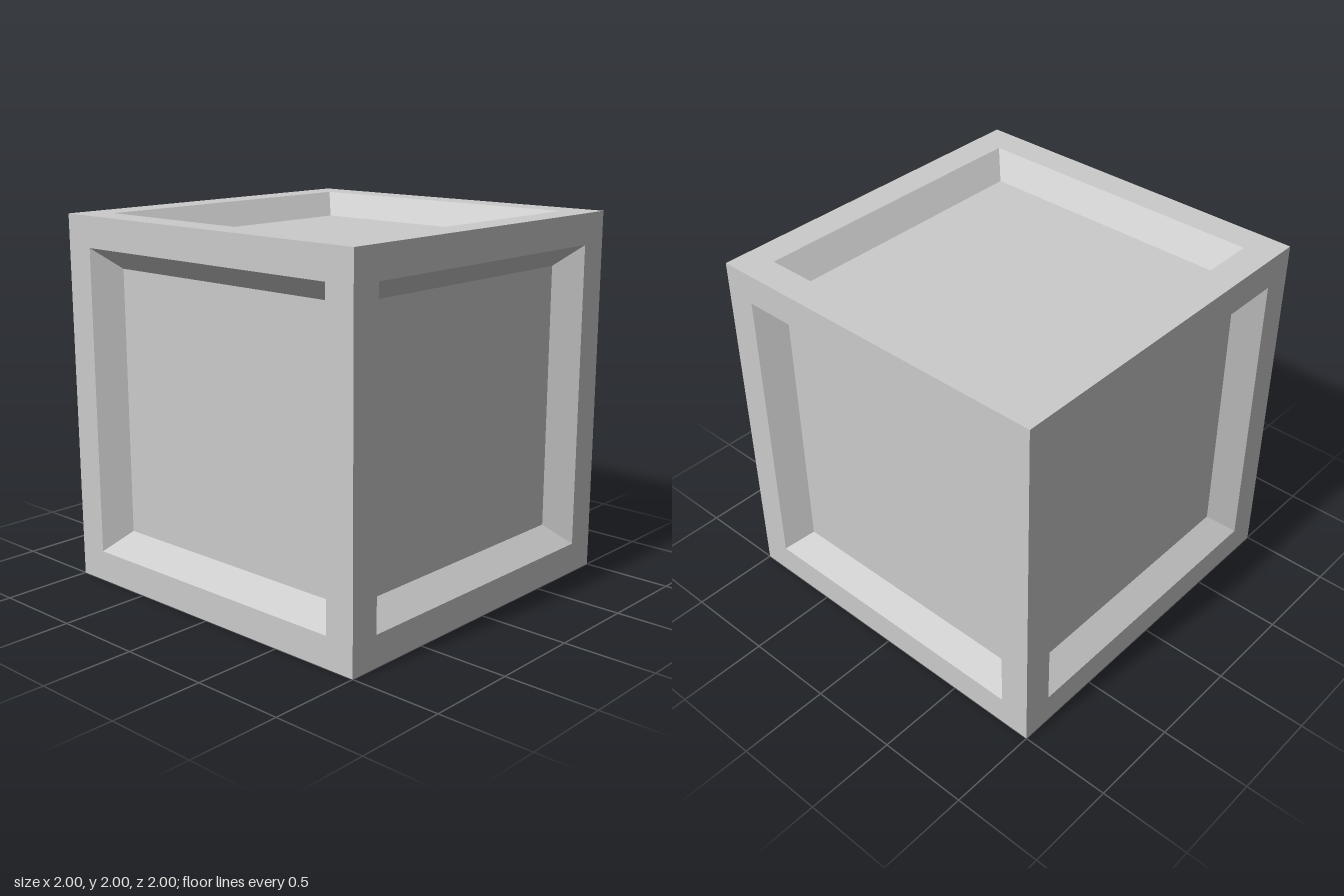
import * as THREE from 'three';

const HALF = 1, RIM = 0.833, PANEL = 0.722, DEPTH = 0.128;

function square(path, h) {
  path.moveTo(-h, -h);
  path.lineTo(h, -h);
  path.lineTo(h, h);
  path.lineTo(-h, h);
  path.closePath();
  return path;
}

export function createModel() {
  const model = new THREE.Group();
  model.name = 'panelledCube';
  const material = new THREE.MeshStandardMaterial({ color: 0xcccccc, flatShading: true });

  // Flat square border around the recess
  const shape = square(new THREE.Shape(), HALF);
  shape.holes.push(square(new THREE.Path(), RIM));
  const frame = new THREE.ShapeGeometry(shape).translate(0, 0, HALF);

  // Four sloping walls: an open square frustum mirrored so it faces inward
  const r = Math.SQRT2;
  const bevel = new THREE.CylinderGeometry(RIM * r, PANEL * r, DEPTH, 4, 1, true, Math.PI / 4)
    .rotateX(Math.PI / 2)
    .scale(-1, 1, 1)
    .translate(0, 0, HALF - DEPTH / 2)
    .toNonIndexed();
  bevel.computeVertexNormals();

  // Sunken floor of the recess
  const panel = new THREE.PlaneGeometry(PANEL * 2, PANEL * 2).translate(0, 0, HALF - DEPTH);

  // The same recessed side, turned to all six directions
  const q = Math.PI / 2;
  const sides = {
    front: [0, 0], left: [0, q], back: [0, 2 * q], right: [0, -q], top: [-q, 0], bottom: [q, 0],
  };
  for (const [name, [rx, ry]] of Object.entries(sides)) {
    const side = new THREE.Group();
    side.name = name + 'Side';
    for (const [part, geometry] of Object.entries({ frame, bevel, panel })) {
      const mesh = new THREE.Mesh(geometry, material);
      mesh.name = part;
      side.add(mesh);
    }
    side.rotation.set(rx, ry, 0);
    side.position.y = HALF;
    model.add(side);
  }
  return model;
}
